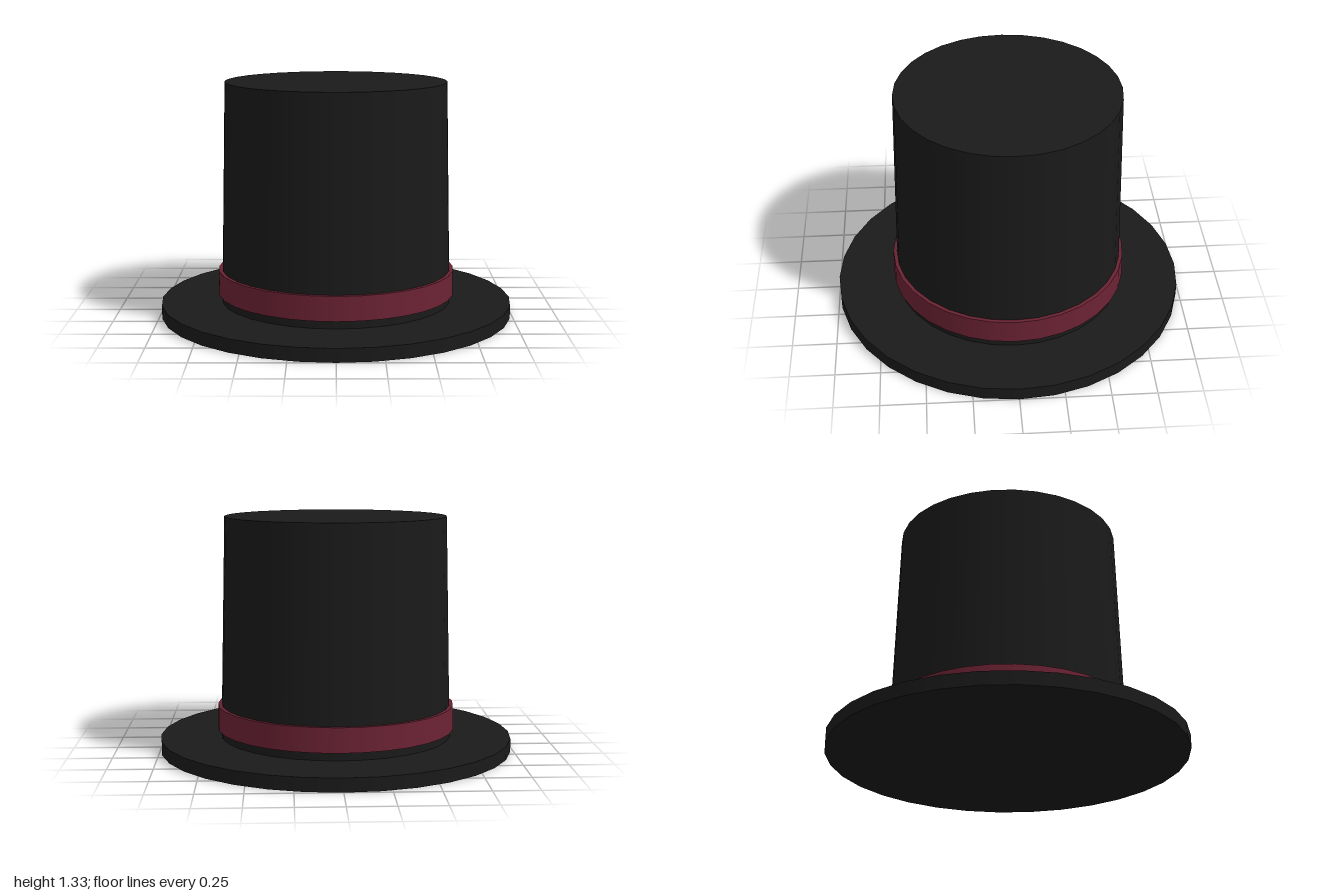
import * as THREE from 'three';

const SIDES = 32;

export function createModel() {
  const hat = new THREE.Group();
  hat.name = 'topHat';

  const felt = new THREE.MeshStandardMaterial({ color: 0x1a1a1a });
  const ribbon = new THREE.MeshStandardMaterial({ color: 0x6b2233 });

  // Closed round part between two heights
  function addRound(name, topRadius, bottomRadius, y0, y1, material) {
    const geometry = new THREE.CylinderGeometry(topRadius, bottomRadius, y1 - y0, SIDES);
    const mesh = new THREE.Mesh(geometry, material);
    mesh.name = name;
    mesh.position.y = (y0 + y1) / 2;
    hat.add(mesh);
  }

  addRound('brim', 1, 1, 0, 0.075, felt);
  addRound('crown', 0.625, 0.656, 0.075, 1.325, felt);
  addRound('band', 0.672, 0.675, 0.12, 0.257, ribbon);

  return hat;
}
